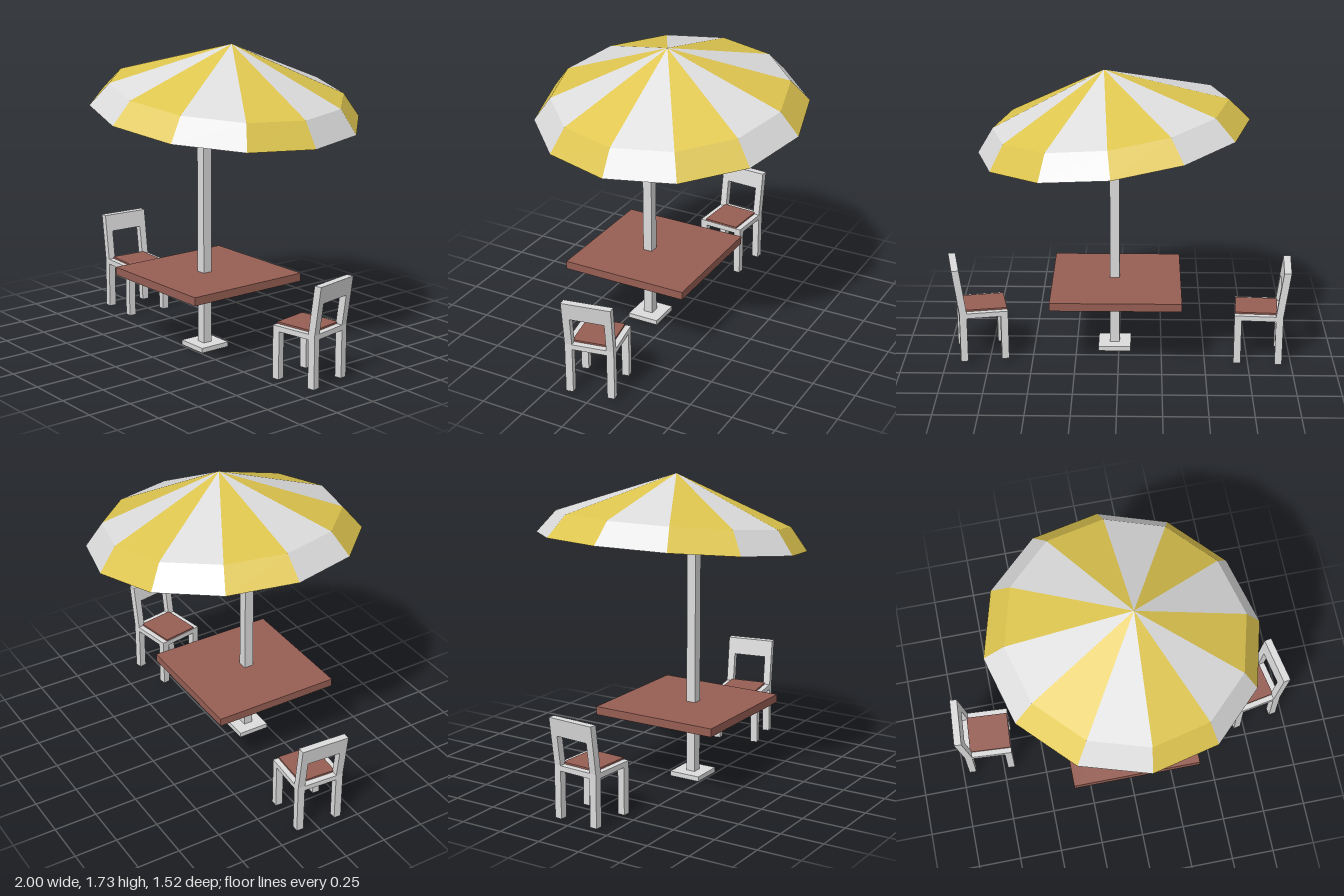
import * as THREE from 'three';

const mat = (name, color, side = THREE.FrontSide) => {
  const m = new THREE.MeshStandardMaterial({ color, side });
  m.name = name;
  return m;
};

// Box given by its min and max corners; openBottom leaves out the lower face
function box(name, material, [x0, y0, z0], [x1, y1, z1], openBottom = false) {
  const g = new THREE.BoxGeometry(x1 - x0, y1 - y0, z1 - z0);
  g.translate((x0 + x1) / 2, (y0 + y1) / 2, (z0 + z1) / 2);
  if (openBottom) {
    g.setIndex([...g.index.array].filter((_, i) => i < 18 || i >= 24));
    g.clearGroups();
  }
  const mesh = new THREE.Mesh(g, material);
  mesh.name = name;
  return mesh;
}

// Tilt a chair back part rearwards by shifting x with height
function lean(mesh) {
  const p = mesh.geometry.attributes.position;
  for (let i = 0; i < p.count; i++) p.setX(i, p.getX(i) - 0.137 * (p.getY(i) - 0.3));
  mesh.geometry.computeVertexNormals();
  return mesh;
}

// Chair facing local +x
function chair(name, frame, wood) {
  const g = new THREE.Group();
  g.name = name;
  const h = 0.14, t = 0.042;
  for (const s of [-1, 1]) {
    const z0 = s < 0 ? -h : h - t, z1 = z0 + t;
    g.add(box('frontLeg', frame, [h - t, 0, z0], [h, 0.27, z1], true));
    g.add(box('backLeg', frame, [-h, 0, z0], [-h + t, 0.27, z1], true));
    g.add(lean(box('backPost', frame, [-h, 0.3, z0], [-h + t, 0.57, z1])));
  }
  g.add(box('seatFrame', frame, [-h, 0.27, -h], [h, 0.3, h]));
  g.add(box('seatPad', wood, [-0.105, 0.3, -0.108], [0.137, 0.31, 0.108]));
  g.add(lean(box('backRail', frame, [-h, 0.47, -h + t], [-h + t, 0.57, h - t])));
  return g;
}

// Twelve-sided canopy: sloping wedges with a steeper lip, alternating colours
function canopy(materials) {
  const g = new THREE.Group();
  g.name = 'canopy';
  const n = 12, rim = 0.762, ring = 0.66, ringY = 0.129, apexY = 0.383;
  const at = (r, y, i) => {
    const a = (i / n) * Math.PI * 2;
    return [r * Math.cos(a), y, r * Math.sin(a)];
  };
  for (let i = 0; i < n; i++) {
    const a = at(ring, ringY, i), b = at(ring, ringY, i + 1);
    const c = at(rim, 0, i), d = at(rim, 0, i + 1);
    const geo = new THREE.BufferGeometry();
    const pts = [[0, apexY, 0], b, a, a, b, d, a, d, c].flat();
    geo.setAttribute('position', new THREE.Float32BufferAttribute(pts, 3));
    geo.computeVertexNormals();
    const mesh = new THREE.Mesh(geo, materials[i % 2]);
    mesh.name = 'canopyPanel';
    g.add(mesh);
  }
  return g;
}

export function createModel() {
  const model = new THREE.Group();
  model.name = 'patioSet';
  const white = mat('white', 0xdcdcdc, THREE.DoubleSide);
  const yellow = mat('yellow', 0xdec54f, THREE.DoubleSide);
  const wood = mat('redBrown', 0x965e53);

  // Table and umbrella pole
  model.add(box('tableTop', wood, [-0.36, 0.395, -0.255], [0.387, 0.442, 0.495]));
  model.add(box('poleBase', white, [-0.07, 0, 0.055], [0.12, 0.028, 0.242], true));
  model.add(box('pole', white, [-0.004, 0.005, 0.122], [0.053, 1.64, 0.177], true));

  // Tilted canopy
  const top = canopy([yellow, white]);
  top.position.set(0.03, 1.35, 0);
  top.rotation.z = -0.132;
  model.add(top);

  // Chairs on either side, each turned a little
  const rightChair = chair('rightChair', white, wood);
  rightChair.position.set(-0.815, 0.003, 0.03);
  rightChair.rotation.y = -0.065;
  const leftChair = chair('leftChair', white, wood);
  leftChair.position.set(0.8, 0.01, 0.04);
  leftChair.rotation.y = Math.PI + 0.186;
  model.add(rightChair, leftChair);
  return model;
}
